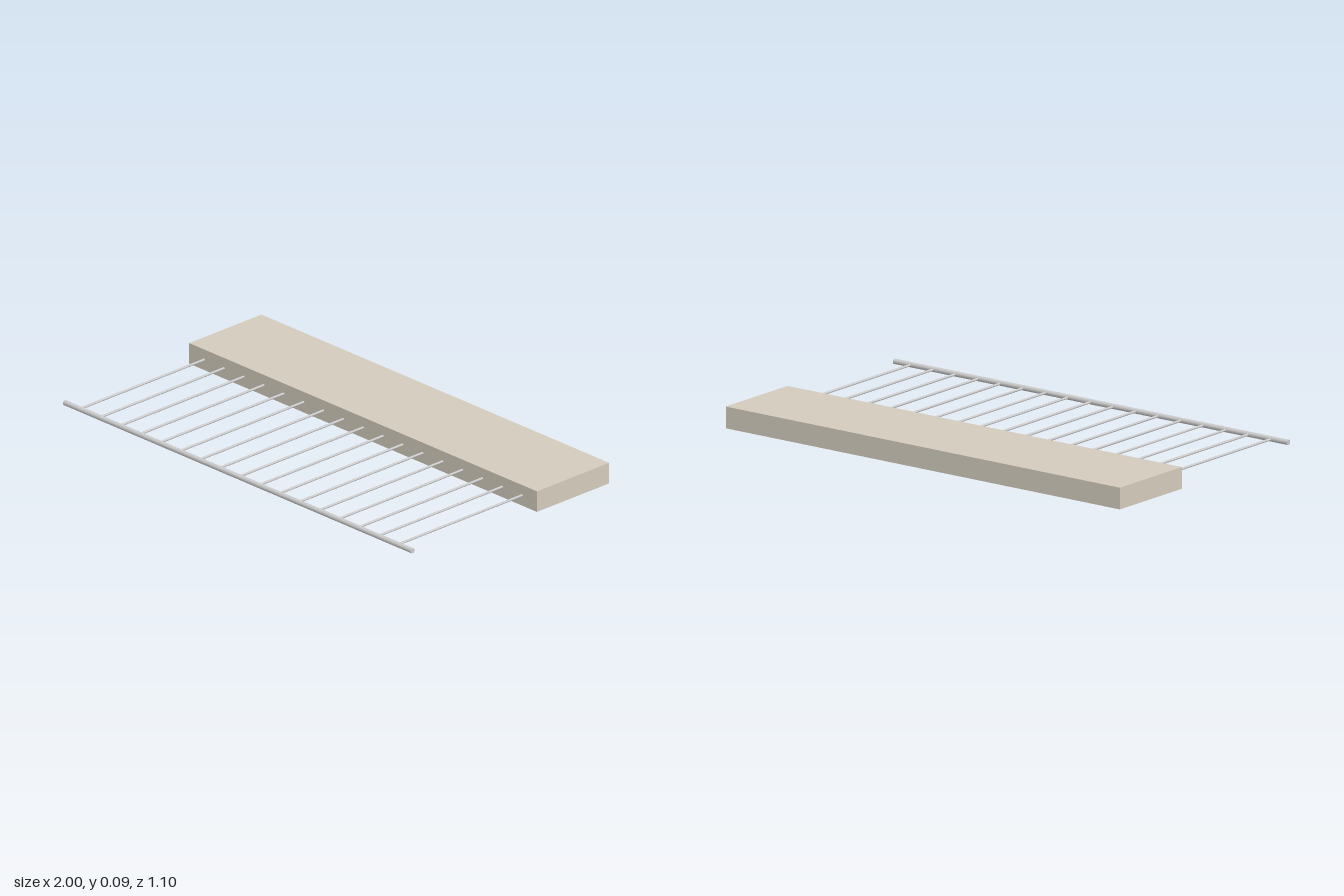
import * as THREE from 'three';

export function createModel() {
  const model = new THREE.Group();
  const stone = new THREE.MeshStandardMaterial({ color: 0xd3cbbc });
  const metal = new THREE.MeshStandardMaterial({ color: 0xcccccc });
  const midY = 0.045;
  const slabFront = -0.15;
  const railZ = 0.539;

  // Solid slab at the back
  const slab = new THREE.Mesh(new THREE.BoxGeometry(2, 0.09, 0.4), stone);
  slab.name = 'slab';
  slab.position.set(0, midY, slabFront - 0.2);
  model.add(slab);

  // Round rail along the front edge
  const rail = new THREE.Mesh(new THREE.CylinderGeometry(0.011, 0.011, 2, 16), metal);
  rail.name = 'frontRail';
  rail.rotation.z = Math.PI / 2;
  rail.position.set(0, midY, railZ);
  model.add(rail);

  // Evenly spaced thin bars joining slab and rail
  const bars = new THREE.Group();
  bars.name = 'bars';
  const length = railZ - slabFront;
  const barGeometry = new THREE.CylinderGeometry(0.005, 0.005, length, 12);
  barGeometry.rotateX(Math.PI / 2);
  for (let i = -8; i <= 8; i++) {
    const bar = new THREE.Mesh(barGeometry, metal);
    bar.name = 'bar';
    bar.position.set(i * 0.1143, midY, slabFront + length / 2);
    bars.add(bar);
  }
  model.add(bars);

  return model;
}
